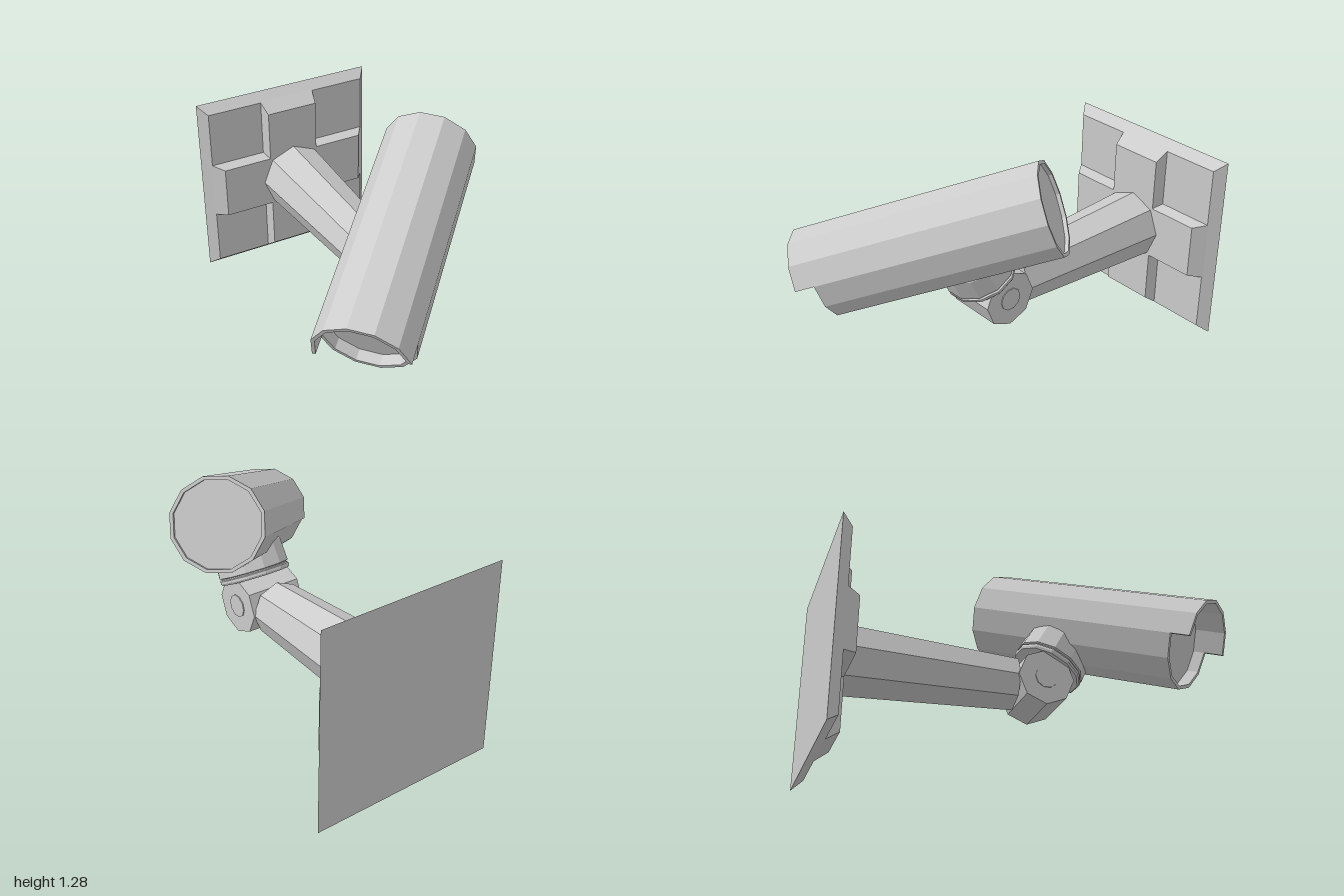
import * as THREE from 'three';
import { ConvexGeometry } from 'three/addons/geometries/ConvexGeometry.js';

const material = new THREE.MeshStandardMaterial({
  color: 0xcccccc, flatShading: true, side: THREE.DoubleSide,
});
const AXIS_X = 0.09, AXIS_Y = 0.515; // centre line of the wall mount

function add(parent, name, geometry) {
  const mesh = new THREE.Mesh(geometry, material);
  mesh.name = name;
  parent.add(mesh);
  return mesh;
}

// Block that tapers from one rectangle (half sizes) to another along z
function taperedBlock(w0, h0, z0, w1, h1, z1) {
  const points = [];
  for (const [w, h, z] of [[w0, h0, z0], [w1, h1, z1]])
    for (const sx of [-1, 1])
      for (const sy of [-1, 1]) points.push(new THREE.Vector3(sx * w, sy * h, z));
  return new ConvexGeometry(points);
}

function lathe(profile, sides) {
  return new THREE.LatheGeometry(profile.map(([r, y]) => new THREE.Vector2(r, y)), sides);
}

function createWallMount() {
  const mount = new THREE.Group();
  mount.name = 'wallMount';
  mount.position.set(AXIS_X, AXIS_Y, 0);

  // Bevelled plate with a raised cross
  add(mount, 'wallPlate', taperedBlock(0.515, 0.515, -1, 0.47, 0.47, -0.945));
  add(mount, 'plateRibVertical', taperedBlock(0.16, 0.474, -0.95, 0.145, 0.422, -0.88));
  add(mount, 'plateRibHorizontal', taperedBlock(0.474, 0.16, -0.95, 0.422, 0.145, -0.88));

  // Tapered eight-sided arm
  const arm = new THREE.CylinderGeometry(0.142, 0.187, 0.88, 8);
  arm.rotateX(Math.PI / 2);
  add(mount, 'arm', arm).position.z = -0.44;

  // Hinge barrel with a small pin on each end
  const barrel = new THREE.CylinderGeometry(0.147, 0.147, 0.3, 8);
  barrel.rotateZ(Math.PI / 2);
  add(mount, 'hinge', barrel).position.z = 0.132;
  const pin = new THREE.CylinderGeometry(0.06, 0.06, 0.31, 10);
  pin.rotateZ(Math.PI / 2);
  add(mount, 'hingePin', pin).position.z = 0.132;
  return mount;
}

function createCamera() {
  const R = 0.236, INNER = 0.218, FRONT = 0.68, BACK = -0.48;
  const camera = new THREE.Group();
  camera.name = 'cameraBody';

  // Twelve-sided housing, recessed at both ends
  const housing = lathe([
    [0, BACK + 0.02], [INNER, BACK + 0.02], [INNER, BACK], [R, BACK],
    [R, FRONT], [INNER, FRONT], [INNER, FRONT - 0.06], [0, FRONT - 0.06],
  ], 12);
  housing.rotateX(Math.PI / 2);
  add(camera, 'housing', housing);

  // Hood: half of the housing wall carried forward
  const outer = [], inner = [];
  for (let i = 0; i <= 6; i++) {
    const a = THREE.MathUtils.degToRad(30 + i * 30);
    outer.push(new THREE.Vector2(R * Math.cos(a), R * Math.sin(a)));
    inner.unshift(new THREE.Vector2(INNER * Math.cos(a), INNER * Math.sin(a)));
  }
  const hood = new THREE.ExtrudeGeometry(new THREE.Shape([...outer, ...inner]), {
    depth: 0.1, bevelEnabled: false,
  });
  add(camera, 'hood', hood).position.z = FRONT;
  return camera;
}

export function createModel() {
  const model = new THREE.Group();
  model.name = 'securityCamera';
  model.add(createWallMount());

  // Head tilts on the hinge, then turns on its neck
  const head = new THREE.Group();
  head.name = 'tiltingHead';
  head.position.set(AXIS_X, AXIS_Y, 0.132);
  head.rotation.x = THREE.MathUtils.degToRad(28);
  model.add(head);

  const turntable = new THREE.Group();
  turntable.name = 'turntable';
  turntable.rotation.y = THREE.MathUtils.degToRad(-43);
  head.add(turntable);

  // Neck with a grooved collar at its foot
  add(turntable, 'neck', lathe([
    [0, 0.115], [0.18, 0.115], [0.187, 0.125], [0.187, 0.138], [0.177, 0.142],
    [0.177, 0.148], [0.187, 0.152], [0.18, 0.27], [0.14, 0.33], [0, 0.33],
  ], 12));

  const camera = createCamera();
  camera.position.y = 0.427;
  turntable.add(camera);
  return model;
}
